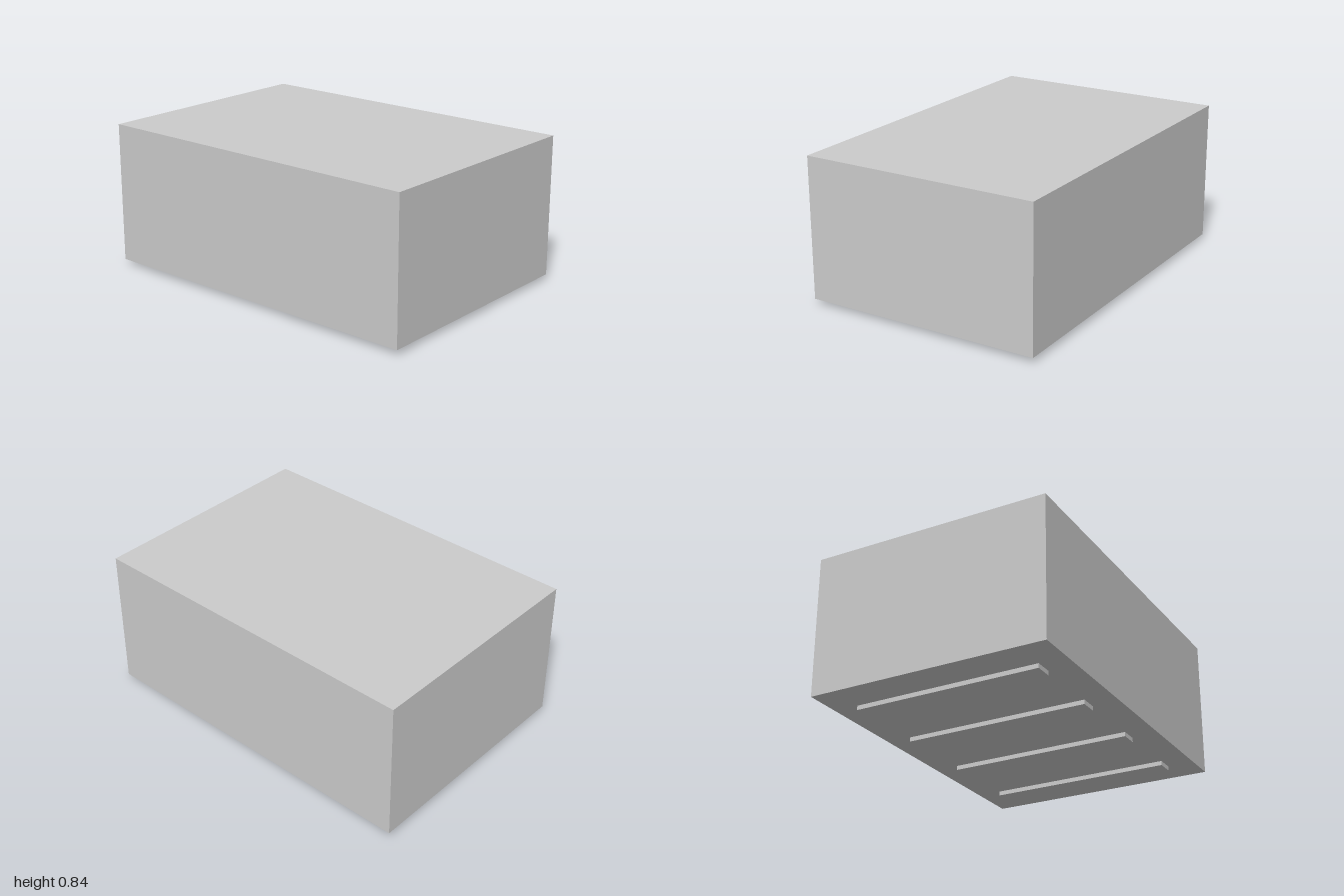
import * as THREE from 'three';

export function createModel() {
  const model = new THREE.Group();
  const material = new THREE.MeshStandardMaterial({ color: 0xcccccc, flatShading: true });

  function addBox(name, width, height, depth, bottom, z) {
    const mesh = new THREE.Mesh(new THREE.BoxGeometry(width, height, depth), material);
    mesh.name = name;
    mesh.position.set(0, bottom + height / 2, z);
    model.add(mesh);
  }

  // Main block, floating just above its runners
  addBox('body', 1.374, 0.81, 2, 0.03, 0);

  // Four evenly spaced cross runners underneath
  for (let i = 0; i < 4; i++) {
    addBox(`runner${i + 1}`, 1.074, 0.025, 0.1, 0, 0.75 - i * 0.5);
  }

  return model;
}
